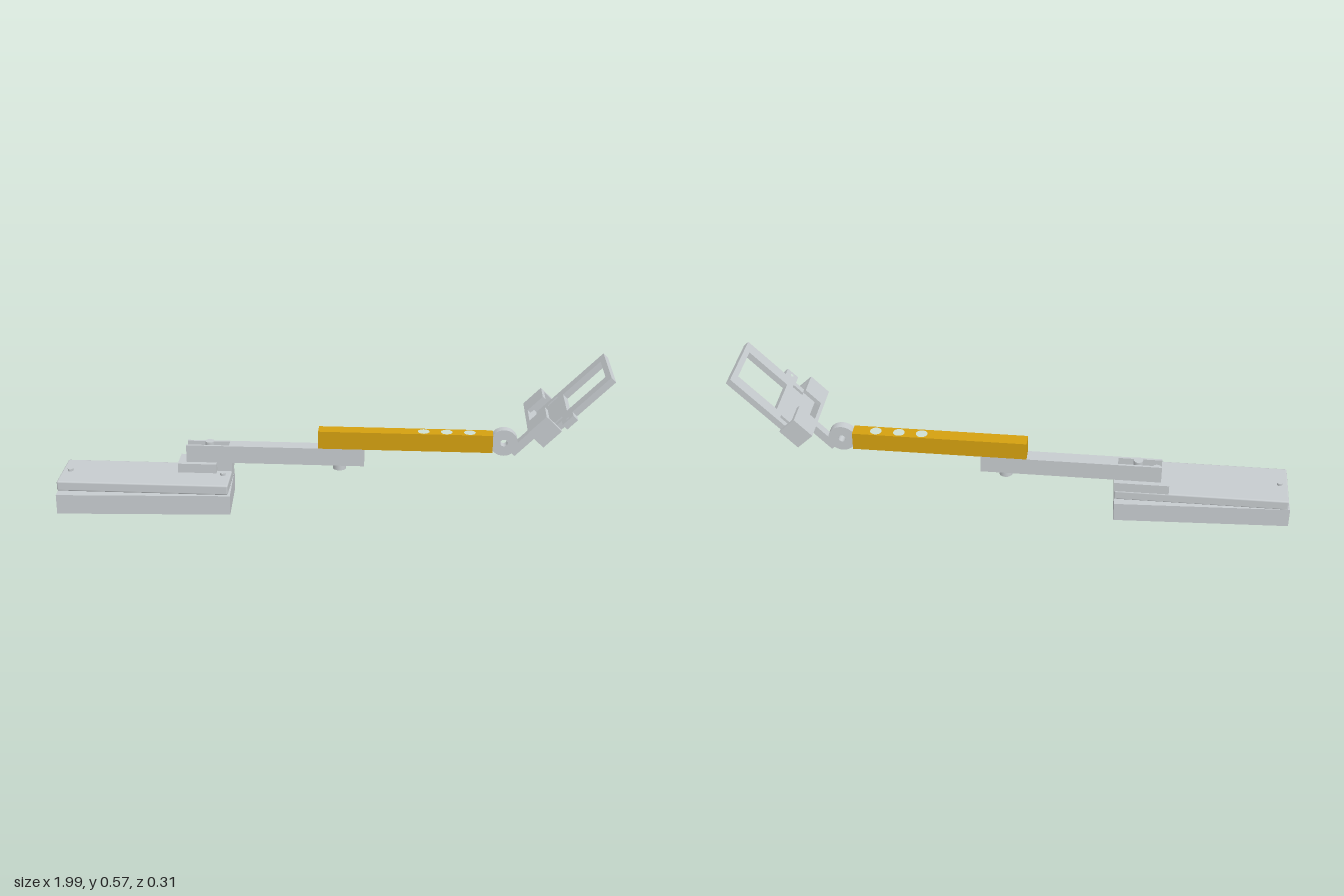
import * as THREE from 'three';
import { RoundedBoxGeometry } from 'three/addons/geometries/RoundedBoxGeometry.js';

const TURN = -0.047; // slight yaw shared by cover, arms and holder

export function createModel() {
  const model = new THREE.Group();
  const grey = new THREE.MeshStandardMaterial({ color: 0xc6cbce });
  grey.name = 'lightGrey';
  const gold = new THREE.MeshStandardMaterial({ color: 0xd4a010 });
  gold.name = 'gold';

  const add = (parent, name, geometry, material = grey) => {
    const mesh = new THREE.Mesh(geometry, material);
    mesh.name = name;
    parent.add(mesh);
    return mesh;
  };
  const group = (parent, name, x, y, z) => {
    const g = new THREE.Group();
    g.name = name;
    g.position.set(x, y, z);
    parent.add(g);
    return g;
  };
  // Box given by its minimum and maximum corners
  const box = (parent, name, a, b, material) => add(parent, name,
    new THREE.BoxGeometry(b[0] - a[0], b[1] - a[1], b[2] - a[2])
      .translate((a[0] + b[0]) / 2, (a[1] + b[1]) / 2, (a[2] + b[2]) / 2), material);
  const pin = (parent, name, x, z, y0, y1, r) => add(parent, name,
    new THREE.CylinderGeometry(r, r, y1 - y0, 24).translate(x, (y0 + y1) / 2, z));

  const polygon = (points) => new THREE.Shape(points.map(([x, y]) => new THREE.Vector2(x, y)));
  const circle = (x, y, r) => new THREE.Path().absarc(x, y, r, 0, Math.PI * 2, true);
  const rectangle = (x0, x1, y0, y1) => polygon([[x0, y0], [x0, y1], [x1, y1], [x1, y0]]);
  // Plan outline (x, z) given thickness between two heights
  const slab = (parent, name, shape, holes, y0, y1, material) => {
    shape.holes.push(...holes);
    const g = new THREE.ExtrudeGeometry(shape, { depth: y1 - y0, bevelEnabled: false, curveSegments: 24 });
    return add(parent, name, g.rotateX(Math.PI / 2).translate(0, y1, 0), material);
  };

  // Base block with a slightly turned cover
  const base = group(model, 'base', 0, 0, 0);
  box(base, 'baseBlock', [-1, 0.015, -0.133], [-0.37, 0.089, 0.095]);
  const cover = add(base, 'baseCover', new RoundedBoxGeometry(0.625, 0.038, 0.199, 2, 0.006));
  cover.position.set(-0.685, 0.109, -0.0225);
  cover.rotation.y = TURN;
  for (const [x, z] of [[-0.967, -0.035], [-0.402, -0.005]]) {
    pin(base, 'baseFoot', x, z, 0, 0.016, 0.0155);
    pin(base, 'basePeg', x, z, 0.12, 0.137, 0.01);
  }

  // Everything above follows one centre line
  const arms = group(model, 'arms', 0, 0, -0.043);
  arms.rotation.y = TURN;

  // Mount on the base, notched around the peg
  slab(arms, 'mount', polygon([[-0.567, -0.045], [-0.37, -0.045], [-0.37, 0.022],
    [-0.425, 0.022], [-0.425, 0.045], [-0.567, 0.045]]), [], 0.126, 0.163);
  pin(arms, 'mountBolt', -0.452, 0, 0.16, 0.238, 0.017);
  pin(arms, 'mountStud', -0.52, 0, 0.16, 0.21, 0.017);

  // Lower arm, forked at both ends
  slab(arms, 'lowerArm', polygon([
    [-0.537, -0.026], [0.115, -0.026], [0.115, -0.0175], [0, -0.0175], [0, 0.0175], [0.115, 0.0175],
    [0.115, 0.026], [-0.537, 0.026], [-0.537, 0.0175], [-0.38, 0.0175], [-0.38, -0.0175], [-0.537, -0.0175],
  ]), [], 0.163, 0.229);
  pin(arms, 'armBoltShaft', 0.025, 0, 0.16, 0.229, 0.017);
  pin(arms, 'armBoltHead', 0.025, 0, 0.143, 0.163, 0.024);

  // Upper arm with three through holes
  slab(arms, 'upperArm', rectangle(-0.052, 0.58, -0.026, 0.026),
    [0.33, 0.413, 0.497].map((x) => circle(x, 0, 0.021)), 0.229, 0.296, gold);

  // Hinge and tilted holder: x runs along the plate, y is its normal
  const holder = group(arms, 'holder', 0.62, 0.265, 0);
  holder.rotation.z = 0.803;
  const disk = new THREE.Shape().absarc(0, 0, 0.05, 0, Math.PI * 2);
  disk.holes.push(circle(0, 0, 0.013));
  add(holder, 'hingeDisk', new THREE.ExtrudeGeometry(disk,
    { depth: 0.032, bevelEnabled: false, curveSegments: 32 }).translate(0, 0, -0.016));
  box(holder, 'hingeNeck', [-0.008, -0.064, -0.015], [0.125, -0.034, 0.015]);

  // Frame plate with a window and two slots
  const low = -0.066, high = -0.042;
  slab(holder, 'framePlate', polygon([[0.119, -0.14], [0.207, -0.14], [0.207, -0.124], [0.46, -0.124],
    [0.46, 0.124], [0.207, 0.124], [0.207, 0.14], [0.119, 0.14]]), [
    rectangle(0.259, 0.439, -0.078, 0.078),
    rectangle(0.189, 0.235, 0.09, 0.104),
    rectangle(0.189, 0.235, -0.104, -0.09),
  ], low, high);
  slab(holder, 'sideTab', rectangle(0.23, 0.28, 0.123, 0.16), [circle(0.255, 0.144, 0.006)], low, high);

  // Pocket walls at the lower end of the plate
  box(holder, 'pocketFloor', [0.119, high, -0.14], [0.133, 0.012, 0.14]);
  for (const s of [-1, 1]) {
    const z = [s * 0.125, s * 0.14].sort((a, b) => a - b);
    const lip = [s * 0.05, s * 0.125].sort((a, b) => a - b);
    box(holder, 'pocketSide', [0.133, high, z[0]], [0.207, 0.012, z[1]]);
    box(holder, 'pocketLip', [0.133, -0.003, lip[0]], [0.207, 0.012, lip[1]]);
  }
  return model;
}
